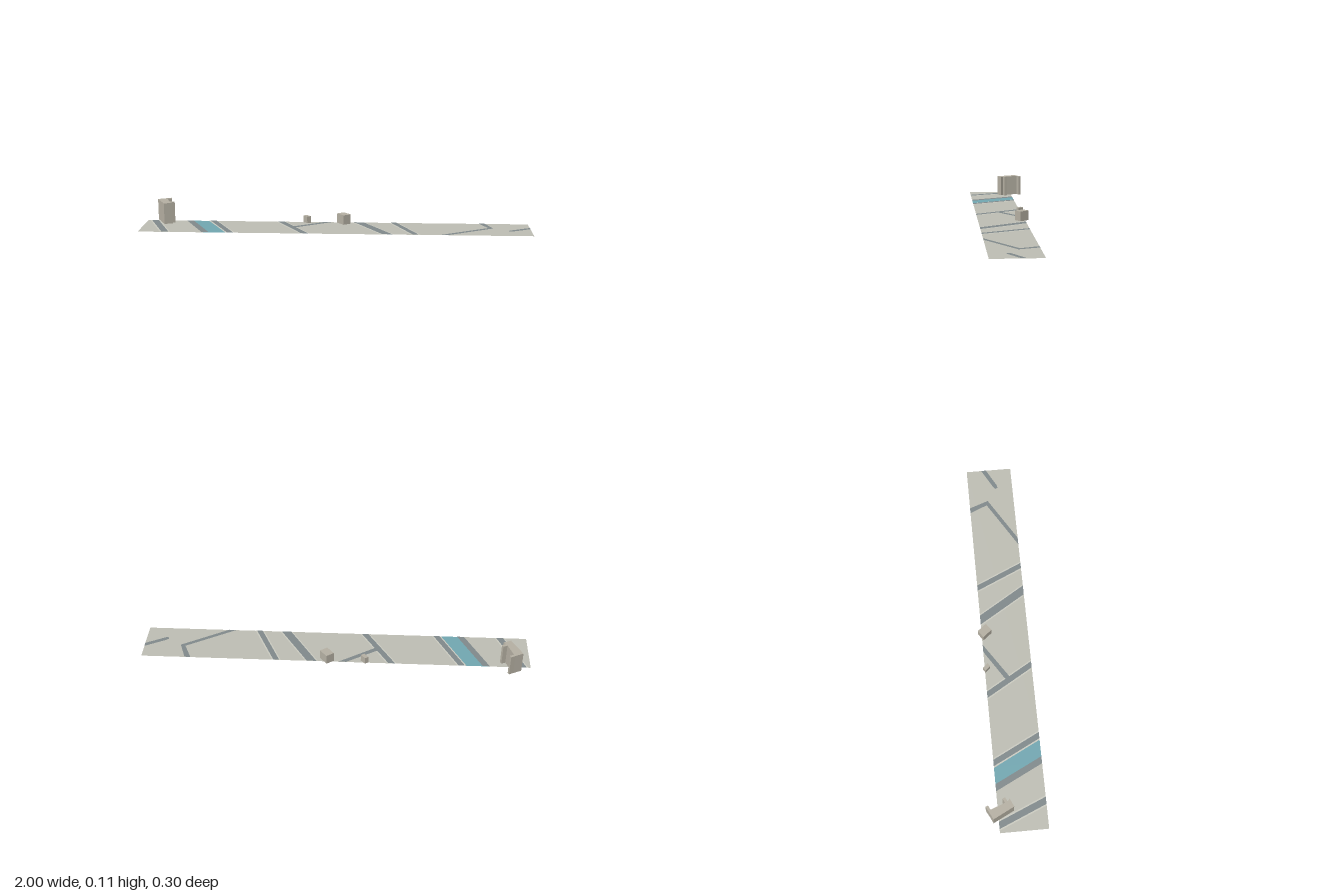
import * as THREE from 'three';

const BACK = -0.092, FRONT = 0.15;
const mat = (color, side = THREE.FrontSide) =>
  new THREE.MeshStandardMaterial({ color, side, flatShading: true });

// Outline given as [x, z] pairs
const outline = (pts) => new THREE.Shape(pts.map(([x, z]) => new THREE.Vector2(x, -z)));

function flat(name, pts, y, material) {
  const geo = new THREE.ShapeGeometry(outline(pts)).rotateX(-Math.PI / 2);
  const mesh = new THREE.Mesh(geo, material);
  mesh.position.y = y;
  mesh.name = name;
  return mesh;
}

function block(name, pts, height, material) {
  const geo = new THREE.ExtrudeGeometry(outline(pts), { depth: height, bevelEnabled: false });
  const mesh = new THREE.Mesh(geo.rotateX(-Math.PI / 2), material);
  mesh.name = name;
  return mesh;
}

// Slanted band across the whole strip, from its back edge to its front edge
const band = (xBack, xFront, w) => [
  [xBack - w / 2, BACK], [xBack + w / 2, BACK], [xFront + w / 2, FRONT], [xFront - w / 2, FRONT],
];

export function createModel() {
  const model = new THREE.Group();
  const landMat = mat(0xbcbcb2, THREE.DoubleSide);
  const waterMat = mat(0x70a5af, THREE.DoubleSide);
  const roadMat = mat(0x7f888a);
  const kerbMat = mat(0xc8c8be);
  const wallMat = mat(0xb3aea1);

  // Ground in two pieces with the river between them
  const riverL = [-0.79, -0.665], riverR = [-0.675, -0.55];
  model.add(
    flat('groundRight', [[-1, BACK], [riverL[0], BACK], [riverL[1], FRONT], [-1, FRONT]], 0, landMat),
    flat('groundLeft', [[riverR[0], BACK], [1, BACK], [1, FRONT], [riverR[1], FRONT]], 0, landMat),
    flat('river', [[riverL[0], BACK], [riverR[0], BACK], [riverR[1], FRONT], [riverL[1], FRONT]], 0, waterMat),
  );

  // Roads that cross the strip: back x, front x, width along x
  const crossings = [
    [-0.962, -0.86, 0.036], [-0.775, -0.655, 0.036], [-0.65, -0.528, 0.032],
    [-0.293, -0.15, 0.034], [0.118, 0.268, 0.05], [0.3, 0.41, 0.03],
  ];
  crossings.forEach(([b, f, w], i) => {
    if (i !== 1) model.add(flat('kerb', band(b, f, w + 0.016), 0.0006, kerbMat));
    model.add(flat('road', band(b, f, w), 0.0014, roadMat));
  });

  // Side roads with bends and dead ends
  const sideRoads = [
    [[-0.225, 0.014], [-0.06, BACK], [-0.02, BACK], [-0.21, 0.034]],
    [[0.745, BACK], [0.775, BACK], [0.811, 0.008], [0.575, FRONT], [0.535, FRONT], [0.785, 0]],
    [[0.882, 0.056], [0.893, 0.046], [1, -0.012], [1, 0.014], [0.9, 0.068], [0.886, 0.068]],
  ];
  for (const pts of sideRoads) model.add(flat('sideRoad', pts, 0.0014, roadMat));

  // Tall building: a slab with two short wings on its left side
  model.add(block('tallBuilding', [
    [-0.949, -0.118], [-0.907, -0.139], [-0.885, -0.151], [-0.879, -0.139], [-0.901, -0.128],
    [-0.874, -0.056], [-0.853, -0.066], [-0.847, -0.053], [-0.868, -0.043],
    [-0.856, -0.031], [-0.896, -0.013],
  ], 0.11, wallMat));

  // Two low buildings
  model.add(
    block('lowBuilding', [[0.004, -0.085], [0.04, -0.111], [0.076, -0.066], [0.04, -0.04]], 0.05, wallMat),
    block('smallBuilding', [[-0.174, -0.09], [-0.156, -0.101], [-0.134, -0.075], [-0.152, -0.064]], 0.036, wallMat),
  );
  return model;
}
